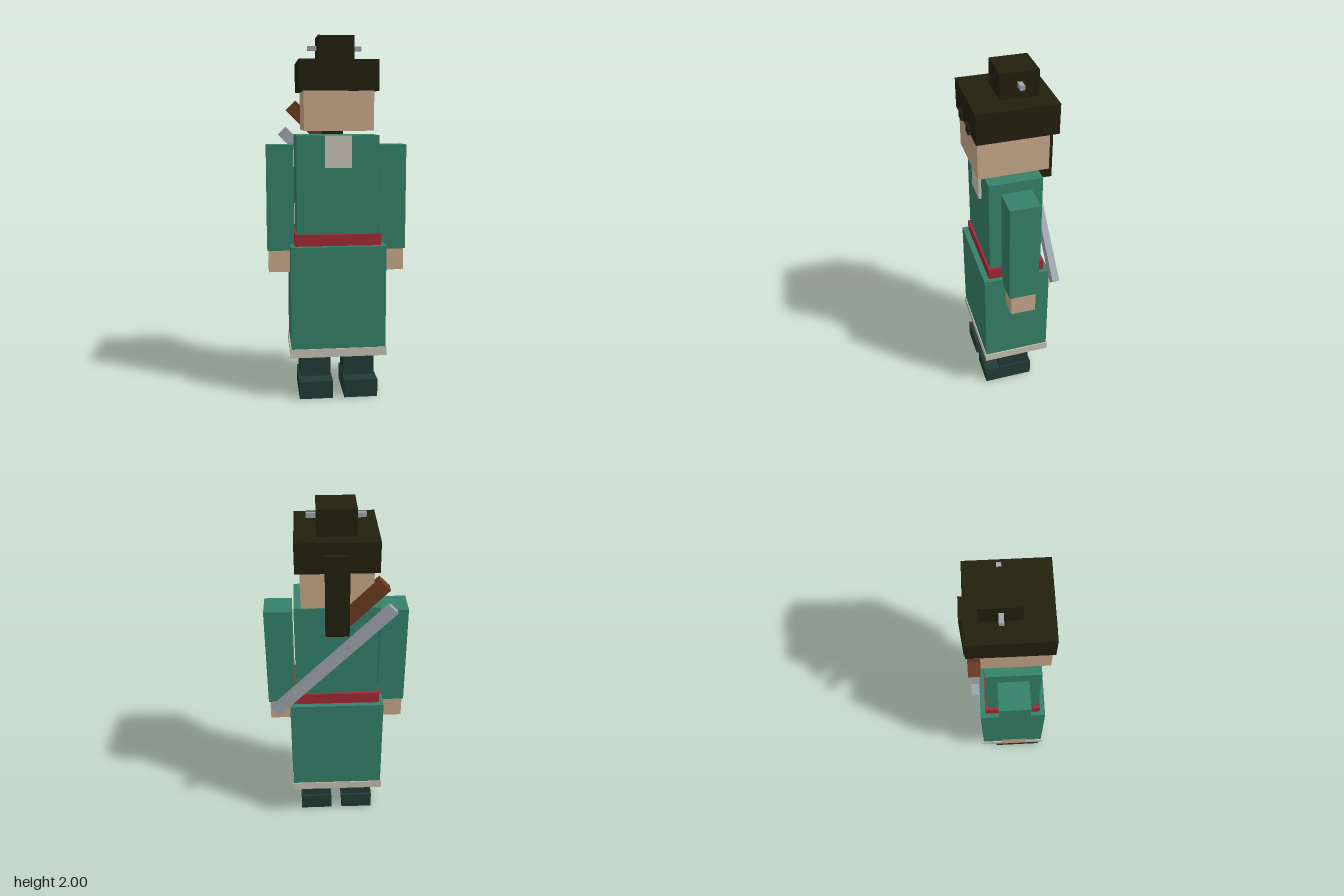
import * as THREE from 'three';

const palette = {
  robeGreen: 0x358269, skin: 0xc9a88b, hairBlack: 0x22200e, trimBeige: 0xc9c3b4,
  sashRed: 0xa32a35, bootGreen: 0x223b35, steel: 0xa0a6ae, gripBrown: 0x6b3a20,
};

export function createModel() {
  const model = new THREE.Group();
  model.name = 'swordsman';
  const mats = {};
  for (const [name, color] of Object.entries(palette)) {
    mats[name] = new THREE.MeshStandardMaterial({ color });
    mats[name].name = name;
  }

  // Box given by its ranges on each axis
  function box(name, mat, [x0, x1], [y0, y1], [z0, z1]) {
    const mesh = new THREE.Mesh(new THREE.BoxGeometry(x1 - x0, y1 - y0, z1 - z0), mats[mat]);
    mesh.position.set((x0 + x1) / 2, (y0 + y1) / 2, (z0 + z1) / 2);
    mesh.name = name;
    model.add(mesh);
    return mesh;
  }
  const centred = (name, mat, halfX, y, z) => box(name, mat, [-halfX, halfX], y, z);
  function pair(name, mat, [x0, x1], y, z) {
    box('left' + name, mat, [x0, x1], y, z);
    box('right' + name, mat, [-x1, -x0], y, z);
  }

  // Boots
  pair('Foot', 'bootGreen', [0.032, 0.219], [0, 0.1], [-0.085, 0.2]);
  pair('Leg', 'bootGreen', [0.038, 0.21], [0.1, 0.26], [-0.07, 0.113]);

  // Robe
  centred('hem', 'trimBeige', 0.268, [0.243, 0.291], [-0.172, 0.21]);
  centred('skirt', 'robeGreen', 0.262, [0.2415, 0.863], [-0.167, 0.205]);
  centred('sash', 'sashRed', 0.238, [0.863, 0.927], [-0.138, 0.174]);
  centred('torso', 'robeGreen', 0.225, [0.863, 1.465], [-0.125, 0.163]);
  centred('collar', 'trimBeige', 0.072, [1.29, 1.465], [0.16, 0.178]);

  // Arms
  pair('Sleeve', 'robeGreen', [0.237, 0.387], [0.828, 1.412], [-0.062, 0.1]);
  pair('Hand', 'skin', [0.244, 0.38], [0.705, 0.83], [-0.05, 0.088]);

  // Head and hair
  centred('head', 'skin', 0.187, [1.49, 1.72], [-0.167, 0.207]);
  centred('hair', 'hairBlack', 0.212, [1.7, 1.863], [-0.207, 0.217]);
  pair('Brow', 'hairBlack', [0.05, 0.1], [1.699, 1.747], [0.205, 0.229]);
  centred('topknot', 'hairBlack', 0.1, [1.863, 2], [-0.133, 0.067]);
  centred('hairpin', 'steel', 0.15, [1.925, 1.95], [-0.045, -0.021]);
  centred('ponytail', 'hairBlack', 0.062, [1.355, 1.8], [-0.23, -0.139]);

  // Sword slung diagonally across the back
  function slung(name, mat, x, y, length, width, z) {
    const mesh = box(name, mat, [x - length / 2, x + length / 2], [y - width / 2, y + width / 2], z);
    mesh.rotation.z = -Math.PI / 4;
  }
  slung('swordBlade', 'steel', 0.025, 1.166, 0.896, 0.062, [-0.19, -0.152]);
  slung('swordGrip', 'gripBrown', -0.141, 1.528, 0.28, 0.078, [-0.2, -0.14]);

  return model;
}
